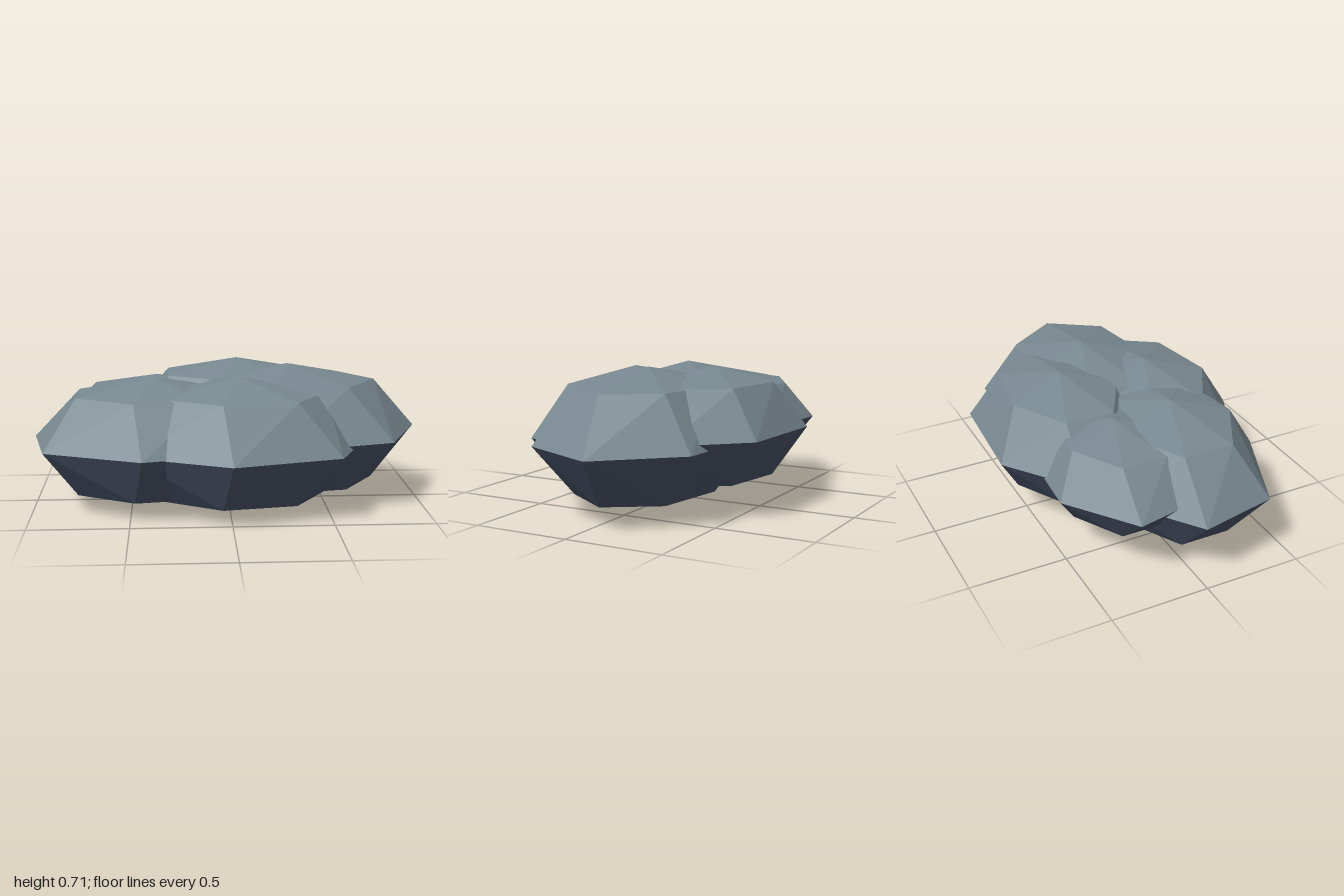
import * as THREE from 'three';

const SIDES = 7;
const STEP = (Math.PI * 2) / SIDES;
const RING_RADIUS = 0.655; // shoulder rings, relative to the middle ring
const RING_HEIGHT = 0.755;
const TWIST = -0.14; // turn of the middle ring against the shoulders

// Faceted flattened puff: pole, shoulder ring, middle ring, shoulder ring, pole
function puffGeometry(rx, ry, rz) {
  const point = (radius, height, turn, k) => {
    const a = k * STEP + turn;
    return [Math.cos(a) * radius * rx, height * ry, Math.sin(a) * radius * rz];
  };
  const upper = [];
  const lower = [];
  for (let k = 0; k < SIDES; k++) {
    const [t0, t1] = [k, k + 1].map((i) => point(RING_RADIUS, RING_HEIGHT, 0, i));
    const [m0, m1] = [k, k + 1].map((i) => point(1, 0, TWIST, i));
    const [b0, b1] = [k, k + 1].map((i) => point(RING_RADIUS, -RING_HEIGHT, 0, i));
    upper.push([0, ry, 0], t1, t0, t0, t1, m1, t0, m1, m0);
    lower.push(m0, m1, b0, m1, b1, b0, b0, b1, [0, -ry, 0]);
  }
  const geometry = new THREE.BufferGeometry();
  geometry.setAttribute('position', new THREE.Float32BufferAttribute([...upper, ...lower].flat(), 3));
  geometry.addGroup(0, upper.length, 0);
  geometry.addGroup(upper.length, lower.length, 1);
  geometry.computeVertexNormals();
  return geometry;
}

export function createModel() {
  const topGrey = new THREE.MeshStandardMaterial({ color: 0x788890 });
  topGrey.name = 'topGrey';
  const undersideSlate = new THREE.MeshStandardMaterial({ color: 0x465064 });
  undersideSlate.name = 'undersideSlate';
  for (const m of [topGrey, undersideSlate]) m.flatShading = true;

  // Overlapping puffs: name, centre, radii
  const puffs = [
    ['frontPuff', [0.05, 0.345, 0.2], [0.66, 0.342, 0.478]],
    ['leftPuff', [0.31, 0.367, -0.03], [0.695, 0.35, 0.5]],
    ['backPuff', [0.06, 0.402, -0.27], [0.62, 0.31, 0.44]],
    ['rightPuff', [-0.38, 0.348, 0.12], [0.65, 0.328, 0.453]],
    ['backRightPuff', [-0.37, 0.39, -0.18], [0.555, 0.25, 0.395]],
  ];

  const group = new THREE.Group();
  group.name = 'puffCluster';
  for (const [name, centre, radii] of puffs) {
    const mesh = new THREE.Mesh(puffGeometry(...radii), [topGrey, undersideSlate]);
    mesh.name = name;
    mesh.position.set(...centre);
    group.add(mesh);
  }
  return group;
}
